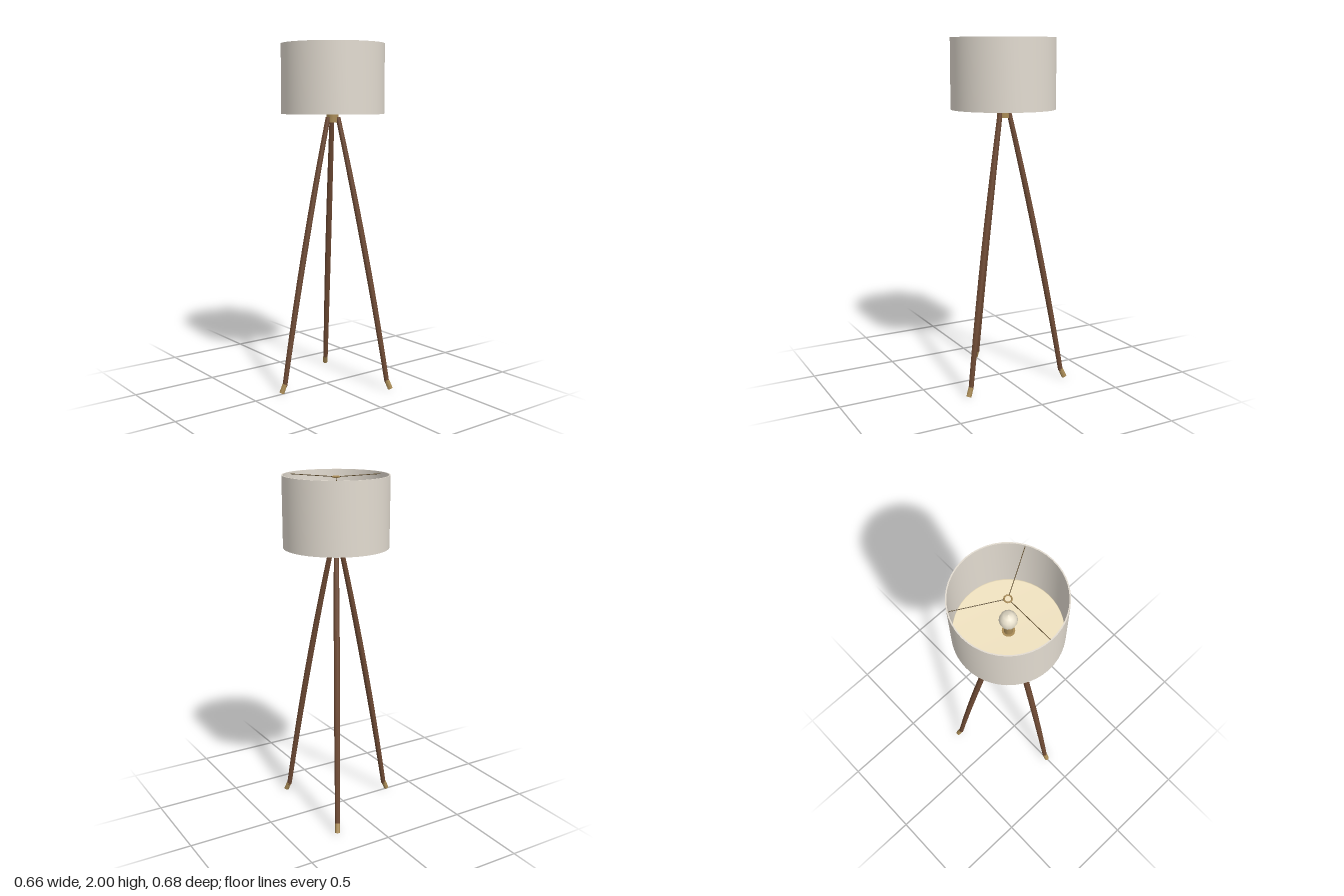
import * as THREE from 'three';
import { toCreasedNormals } from 'three/addons/utils/BufferGeometryUtils.js';

const mat = (color, side = THREE.FrontSide) => new THREE.MeshStandardMaterial({ color, side });
const wood = mat(0x6e4a34);
const brass = mat(0xa88a55);
const wire = mat(0x5c4a2c);
const fabric = mat(0xe2dbd0);
const cream = mat(0xf0e2c0, THREE.DoubleSide);
const glass = mat(0xe8e0cc);

function add(parent, name, geometry, material, x = 0, y = 0, z = 0) {
  const mesh = new THREE.Mesh(geometry, material);
  mesh.name = name;
  mesh.position.set(x, y, z);
  parent.add(mesh);
  return mesh;
}

function lathe(points, segments, crease = 0.7) {
  const g = new THREE.LatheGeometry(points.map(p => new THREE.Vector2(...p)), segments);
  return crease ? toCreasedNormals(g, crease) : g;
}

// rod between two points
function rod(parent, name, a, b, radius, material, sides = 12) {
  const g = toCreasedNormals(new THREE.CylinderGeometry(radius, radius, a.distanceTo(b), sides), 0.7);
  const mesh = add(parent, name, g, material);
  mesh.position.copy(a).lerp(b, 0.5);
  mesh.quaternion.setFromUnitVectors(new THREE.Vector3(0, 1, 0), b.clone().sub(a).normalize());
  return mesh;
}

// distance of a leg's axis from the lamp's axis at height y (gently bowed)
const legOffset = y => 0.345 - 0.188 * (y - 0.05) - 0.0219 * (y - 0.05) * (y - 0.89);

function legGeometry() {
  const profile = [[0, 0.045]];
  const rows = 10;
  for (let i = 0; i <= rows; i++) {
    const t = i / rows;
    profile.push([0.014 + 0.0035 * Math.sin(Math.PI * t), 0.045 + t * 1.54]);
  }
  profile.push([0, 1.585]);
  const g = new THREE.LatheGeometry(profile.map(p => new THREE.Vector2(...p)), 12);
  const p = g.attributes.position;
  for (let i = 0; i < p.count; i++) p.setZ(i, p.getZ(i) + legOffset(p.getY(i)));
  return toCreasedNormals(g, 0.7);
}

export function createModel() {
  const model = new THREE.Group();
  model.name = 'tripodLamp';
  const lamp = new THREE.Group();
  lamp.name = 'lamp';
  lamp.position.z = -0.045;
  model.add(lamp);

  // three bowed legs with splayed metal feet, and the shade spokes above them
  const leg = legGeometry();
  for (let i = 0; i < 3; i++) {
    const arm = new THREE.Group();
    arm.name = 'legAndSpoke' + (i + 1);
    arm.rotation.y = i * Math.PI * 2 / 3;
    lamp.add(arm);
    add(arm, 'leg', leg, wood);
    rod(arm, 'foot', new THREE.Vector3(0, 0.055, 0.345), new THREE.Vector3(0, 0.006, 0.368), 0.0145, brass);
    rod(arm, 'shadeSpoke', new THREE.Vector3(0, 1.988, 0.019), new THREE.Vector3(0, 1.988, 0.292), 0.002, wire, 6);
  }

  // hub joining the legs
  add(lamp, 'hub', toCreasedNormals(new THREE.CylinderGeometry(0.035, 0.035, 0.055, 24), 0.7), brass, 0, 1.5825, 0);

  // drum shade: a thin-walled closed ring
  add(lamp, 'shade', lathe([
    [0.29, 1.603], [0.297, 1.603], [0.297, 2], [0.29, 2], [0.29, 1.603],
  ], 48), fabric);

  // diffuser, softly shaded up to its rim
  add(lamp, 'diffuser', lathe([[0, 1.61], [0.289, 1.61], [0.289, 1.622]], 48, 0), cream);

  // bulb with its socket, and the ring at the top of the shade
  add(lamp, 'socket', toCreasedNormals(new THREE.CylinderGeometry(0.024, 0.024, 0.07, 16), 0.7), brass, 0, 1.64, 0);
  add(lamp, 'bulb', lathe([
    [0.02, 1.67], [0.026, 1.69], [0.042, 1.715], [0.049, 1.745], [0.042, 1.775], [0.025, 1.793], [0, 1.8],
  ], 14, 0), glass);
  const ring = add(lamp, 'shadeRing', new THREE.TorusGeometry(0.019, 0.004, 8, 16), brass, 0, 1.988, 0);
  ring.rotation.x = Math.PI / 2;

  return model;
}
